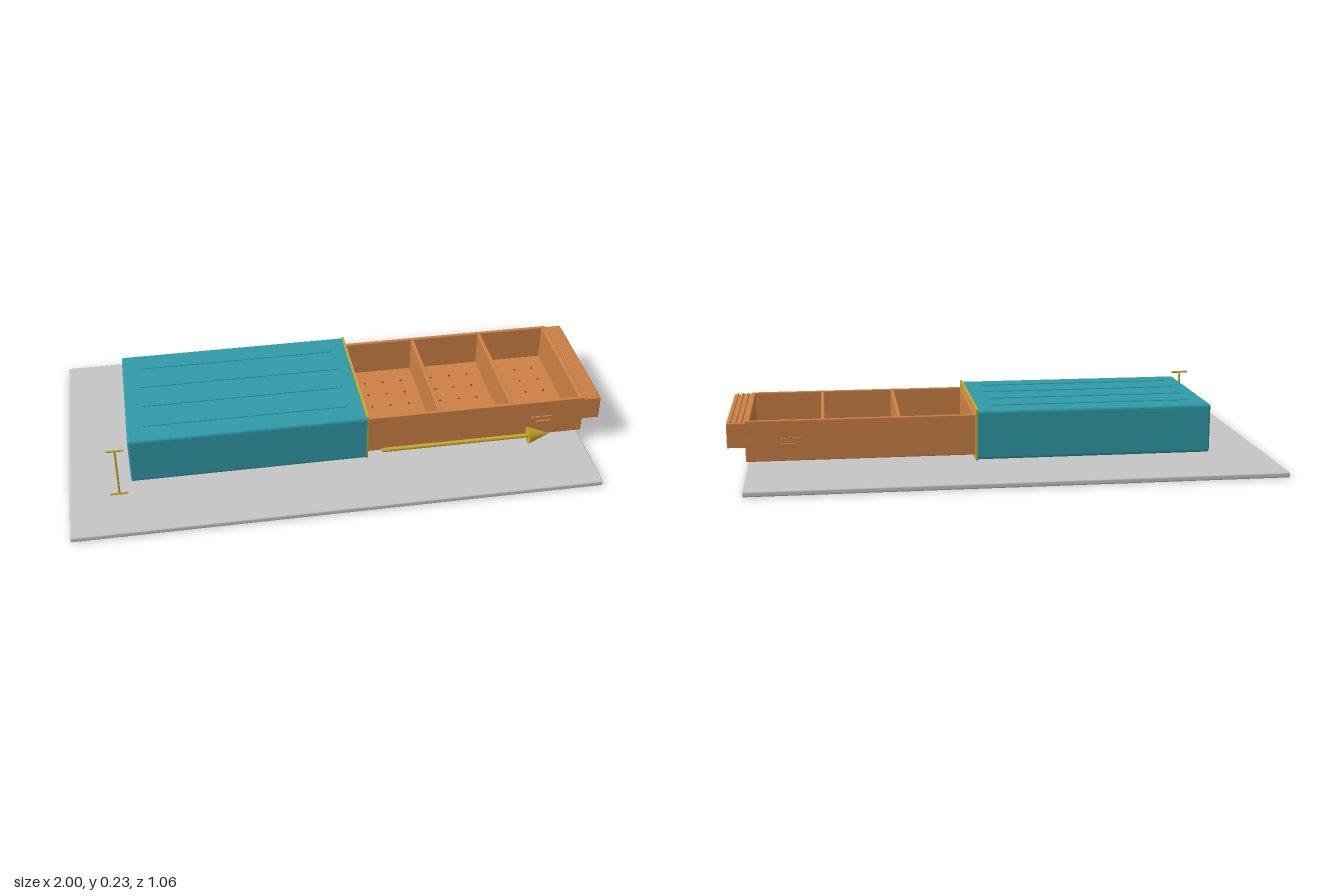
import * as THREE from 'three';
import { RoundedBoxGeometry } from 'three/addons/geometries/RoundedBoxGeometry.js';

const mat = (name, color) => {
  const m = new THREE.MeshStandardMaterial({ color });
  m.name = name;
  return m;
};

// Rounded rectangle centred on the origin, as a Shape or a hole Path
function roundRect(w, h, r, Type = THREE.Shape) {
  const s = new Type(), x = w / 2, y = h / 2;
  s.moveTo(-x + r, -y);
  s.lineTo(x - r, -y); s.quadraticCurveTo(x, -y, x, -y + r);
  s.lineTo(x, y - r); s.quadraticCurveTo(x, y, x - r, y);
  s.lineTo(-x + r, y); s.quadraticCurveTo(-x, y, -x, y - r);
  s.lineTo(-x, -y + r); s.quadraticCurveTo(-x, -y, -x + r, -y);
  return s;
}

// Rectangular ring extruded by depth
function ring(w, h, wall, depth, r) {
  const s = roundRect(w, h, r);
  s.holes.push(roundRect(w - 2 * wall, h - 2 * wall, r * 0.6, THREE.Path));
  return new THREE.ExtrudeGeometry(s, { depth, bevelEnabled: false, curveSegments: 5 });
}

export function createModel() {
  const model = new THREE.Group();
  const teal = mat('teal', 0x2f9aa8), orange = mat('orange', 0xcb8044);
  const grey = mat('grey', 0xc4c4c4), gold = mat('gold', 0xc8a82c);
  const brown = mat('dark brown', 0x5c3517);

  const group = (name) => {
    const g = new THREE.Group();
    g.name = name;
    model.add(g);
    return g;
  };
  const add = (parent, name, geo, m, x = 0, y = 0, z = 0) => {
    const mesh = new THREE.Mesh(geo, m);
    mesh.name = name;
    mesh.position.set(x, y, z);
    parent.add(mesh);
    return mesh;
  };
  // Box given by its limits
  const box = (parent, name, m, x0, x1, y0, y1, z0, z1, r = 0) => {
    const size = [x1 - x0, y1 - y0, z1 - z0];
    const geo = r ? new RoundedBoxGeometry(...size, 2, r) : new THREE.BoxGeometry(...size);
    return add(parent, name, geo, m, (x0 + x1) / 2, (y0 + y1) / 2, (z0 + z1) / 2);
  };

  // Ground plate
  box(model, 'basePlate', grey, -1, 0.935, 0, 0.02, -0.53, 0.53, 0.006);

  // Sleeve: hollow tube, closed at the back end, with ribs above and below
  const sleeve = group('sleeve');
  add(sleeve, 'sleeveShell', ring(0.55, 0.184, 0.013, 0.86, 0.012).rotateY(Math.PI / 2), teal, -0.762, 0.129);
  box(sleeve, 'sleeveEnd', teal, -0.775, -0.755, 0.037, 0.221, -0.275, 0.275, 0.009);
  for (const z of [-0.185, -0.0615, 0.0615, 0.185]) {
    box(sleeve, 'topRib', teal, -0.715, 0.04, 0.218, 0.225, z - 0.008, z + 0.008, 0.003);
    box(sleeve, 'bottomRib', teal, -0.715, 0.04, 0.033, 0.04, z - 0.008, z + 0.008, 0.003);
  }

  // Trim around the mouth of the sleeve
  add(model, 'mouthTrim', ring(0.543, 0.195, 0.014, 0.008, 0.006).rotateY(Math.PI / 2), gold, 0.096, 0.13);

  // Drawer: floor, walls and dividers
  const drawer = group('drawer');
  box(drawer, 'drawerFloor', orange, 0.095, 0.932, 0.052, 0.066, -0.255, 0.255, 0.005);
  for (const s of [-1, 1])
    box(drawer, 'drawerSide', orange, 0.095, 0.932, 0.052, 0.203, s * 0.248 - 0.007, s * 0.248 + 0.007, 0.004);
  for (const x of [0.102, 0.38, 0.655])
    box(drawer, 'divider', orange, x - 0.007, x + 0.007, 0.056, 0.199, -0.248, 0.248, 0.003);
  box(drawer, 'drawerFront', orange, 0.916, 0.934, 0.052, 0.203, -0.255, 0.255, 0.004);

  // Drain holes in the three compartments
  const dot = new THREE.CylinderGeometry(0.004, 0.004, 0.002, 10);
  for (const cx of [0.245, 0.517, 0.79])
    for (const dx of [-0.073, 0, 0.073])
      for (let i = -2; i <= 2; i++)
        add(drawer, 'drainHole', dot, brown, cx + dx, 0.0665, i * 0.079);

  // Small grip bars on both drawer sides
  for (const s of [-1, 1]) {
    const bar = (x0, x1, y) =>
      box(drawer, 'sideGrip', orange, x0, x1, y - 0.003, y + 0.003, s * 0.258 - 0.004, s * 0.258 + 0.004);
    bar(0.73, 0.765, 0.135);
    bar(0.775, 0.81, 0.135);
    bar(0.75, 0.81, 0.115);
  }

  // Finger pull: lip with a pocket open below and ridges on top
  const pull = group('fingerPull');
  add(pull, 'pullRim', ring(0.07, 0.51, 0.014, 0.08, 0.005).rotateX(-Math.PI / 2), orange, 0.964, 0.106);
  box(pull, 'pullTop', orange, 0.929, 0.999, 0.178, 0.197, -0.255, 0.255, 0.005);
  for (const x of [0.945, 0.965, 0.985])
    box(pull, 'pullRidge', orange, x - 0.004, x + 0.004, 0.194, 0.203, -0.247, 0.247, 0.003);

  // Arrow showing the sliding direction
  const arrow = group('slideArrow');
  add(arrow, 'arrowShaft', new THREE.CylinderGeometry(0.008, 0.008, 0.56, 16).rotateZ(-Math.PI / 2), gold, 0.42, 0.125, 0.347);
  add(arrow, 'arrowHead', new THREE.ConeGeometry(0.032, 0.08, 24).rotateZ(-Math.PI / 2), gold, 0.732, 0.125, 0.347);

  // Height marker
  const marker = group('heightMarker');
  add(marker, 'markerRod', new THREE.CylinderGeometry(0.004, 0.004, 0.195, 10), gold, -0.82, 0.13, 0.327);
  for (const y of [0.033, 0.227])
    add(marker, 'markerEnd', new THREE.CylinderGeometry(0.004, 0.004, 0.064, 10).rotateZ(Math.PI / 2), gold, -0.82, y, 0.327);

  return model;
}
